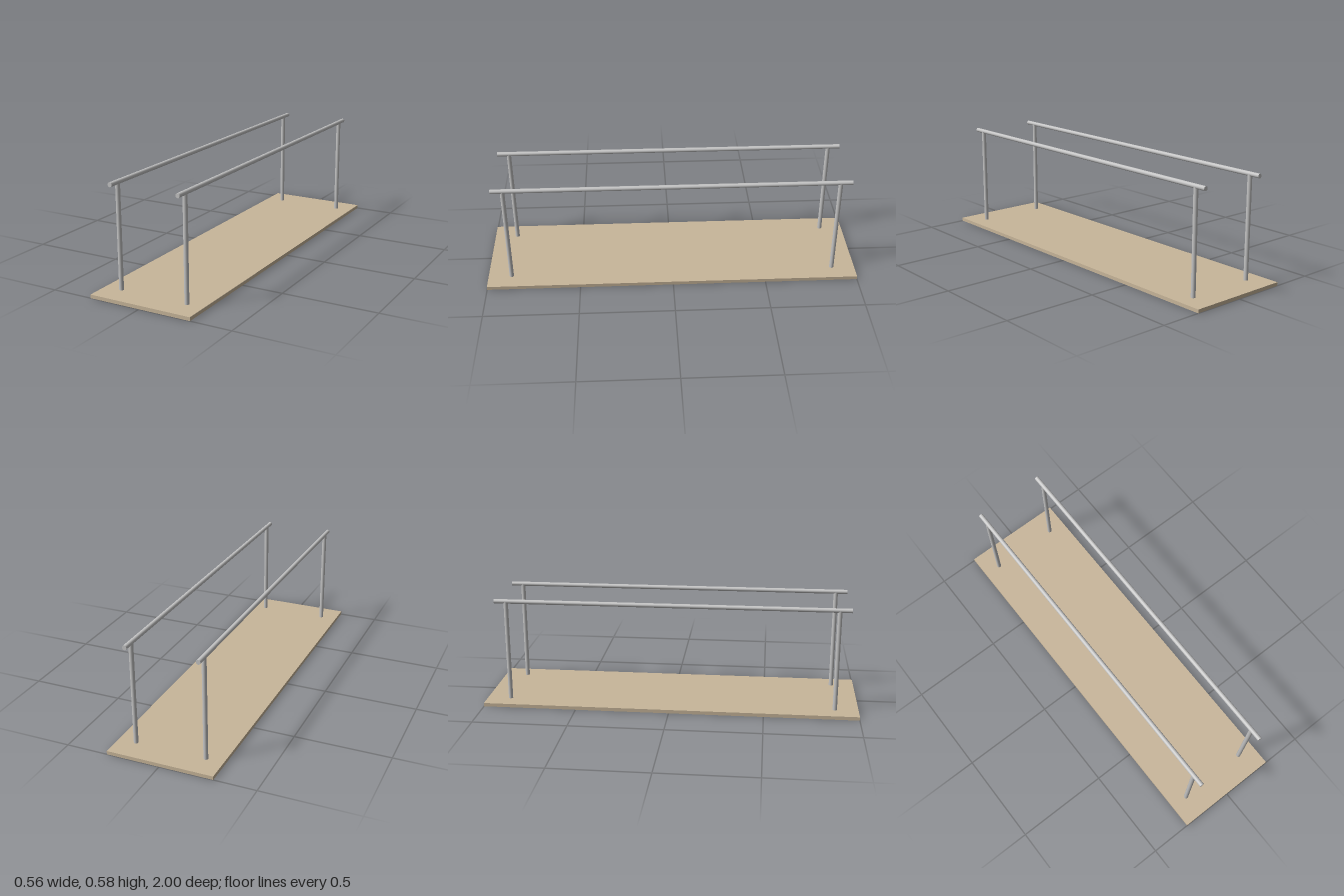
import * as THREE from 'three';

export function createModel() {
  const model = new THREE.Group();
  const wood = new THREE.MeshStandardMaterial({ color: 0xc8b69a });
  wood.name = 'tan board';
  const metal = new THREE.MeshStandardMaterial({ color: 0xc4c4c4 });
  metal.name = 'grey metal';

  const boardHeight = 0.0188, railY = 0.564, radius = 0.0117;

  const add = (name, geometry, material, x, y, z) => {
    const mesh = new THREE.Mesh(geometry, material);
    mesh.name = name;
    mesh.position.set(x, y, z);
    model.add(mesh);
  };

  // Flat base board
  add('platform', new THREE.BoxGeometry(0.5625, boardHeight, 2), wood, 0, boardHeight / 2, 0);

  // Posts run from inside the board up to the rail's centre line
  const postBottom = 0.005;
  const postHeight = railY - postBottom;
  const postGeometry = new THREE.CylinderGeometry(radius, radius, postHeight, 32);
  const railGeometry = new THREE.CylinderGeometry(radius, radius, 1.875, 32).rotateX(Math.PI / 2);

  // One handrail with two posts on each side
  for (const [side, x] of [['left', 0.1875], ['right', -0.1875]]) {
    add(side + 'Handrail', railGeometry, metal, x, railY, 0);
    for (const [end, z] of [['Front', 0.875], ['Back', -0.875]]) {
      add(side + end + 'Post', postGeometry, metal, x, postBottom + postHeight / 2, z);
    }
  }
  return model;
}
